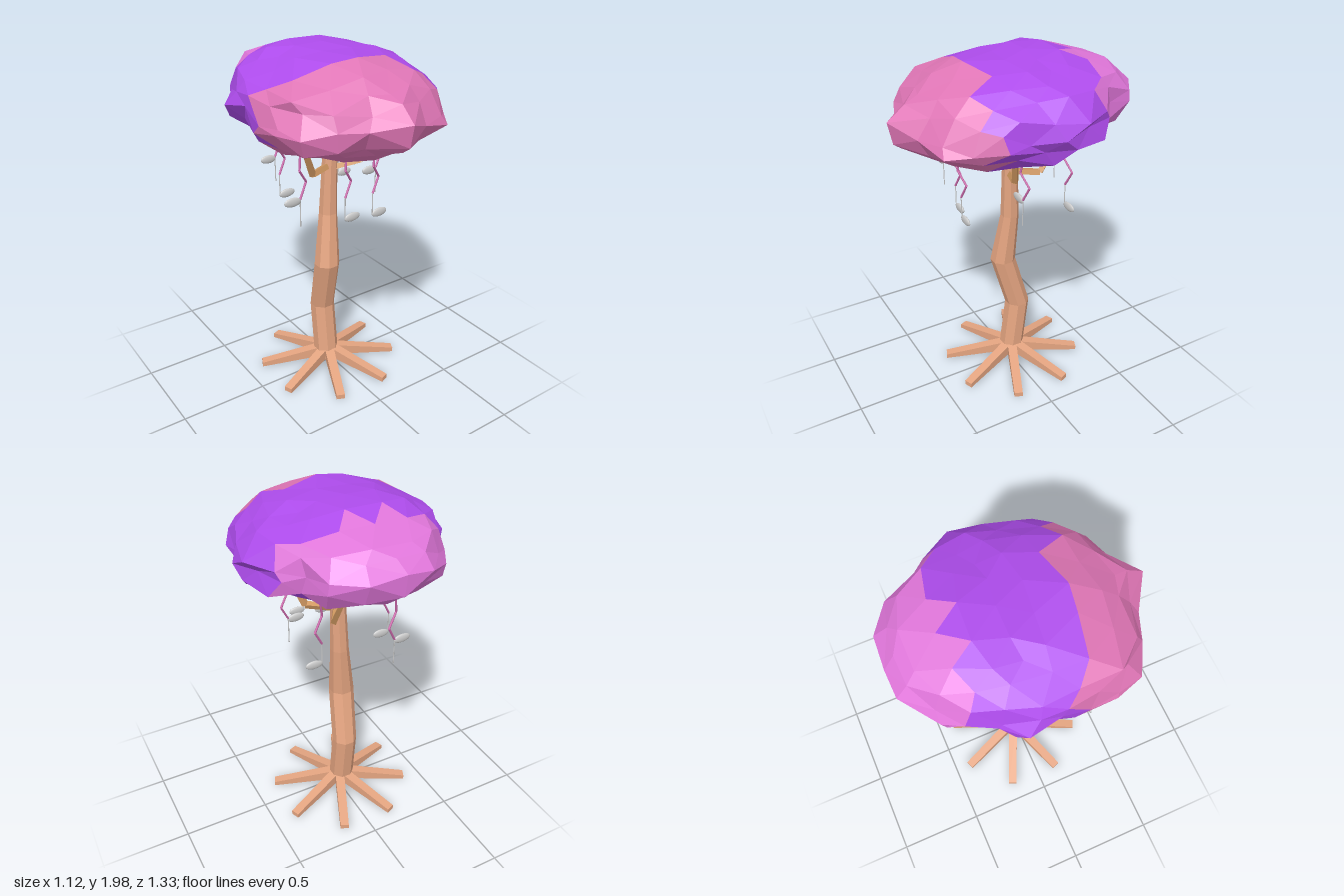
import * as THREE from 'three';
import { mergeVertices } from 'three/addons/utils/BufferGeometryUtils.js';

const V = (x, y, z) => new THREE.Vector3(x, y, z);
const mat = (color, flatShading = true) => new THREE.MeshStandardMaterial({ color, flatShading });
const bark = mat(0xe5a581), branchBark = mat(0xd29a62);
const vine = mat(0xcf6aae, false), metal = mat(0xcccccc, false);

function add(parent, name, geometry, material) {
  const mesh = new THREE.Mesh(geometry, material);
  mesh.name = name;
  parent.add(mesh);
  return mesh;
}

// Skin a stack of equal-length rings (counter-clockwise seen from the far end) and cap both ends
function loft(rings) {
  const n = rings[0].length, index = [];
  for (let i = 0; i < rings.length - 1; i++)
    for (let j = 0; j < n; j++) {
      const a = i * n + j, b = i * n + (j + 1) % n;
      index.push(a, b, b + n, a, b + n, a + n);
    }
  const top = (rings.length - 1) * n;
  for (let j = 1; j < n - 1; j++) index.push(0, j + 1, j, top, top + j, top + j + 1);
  const g = new THREE.BufferGeometry().setFromPoints(rings.flat());
  g.setIndex(index);
  g.computeVertexNormals();
  return g;
}

// Straight tapered rod between two points
function rod(parent, name, a, b, r0, r1, sides, material) {
  const d = b.clone().sub(a);
  const mesh = add(parent, name, new THREE.CylinderGeometry(r1, r0, d.length(), sides), material);
  mesh.position.copy(a).addScaledVector(d, 0.5);
  mesh.quaternion.setFromUnitVectors(V(0, 1, 0), d.normalize());
}

function rodPath(parent, name, points, radii, sides, material) {
  for (let i = 0; i < points.length - 1; i++)
    rod(parent, name, points[i], points[i + 1], radii[i], radii[i + 1], sides, material);
}

// Crooked trunk: x, y, z, radius of each ring
function buildTrunk(tree) {
  const stations = [
    [-0.024, 0.04, -0.02, 0.074], [-0.023, 0.4, -0.064, 0.073], [-0.045, 0.72, 0.022, 0.074],
    [-0.016, 1.03, -0.008, 0.053], [0.002, 1.6, 0, 0.037],
  ];
  const rings = stations.map(([x, y, z, r]) => Array.from({ length: 8 }, (_, j) => {
    const a = (j + 0.5) * Math.PI / 4;
    return V(x + r * Math.cos(a), y, z - r * Math.sin(a));
  }));
  add(tree, 'trunk', loft(rings), bark);
}

// Eight tapered roots spread like a star
function buildRoots(tree) {
  const section = (r, y0, y1, w) => [V(r, y0, w), V(r, y0, -w), V(r, y1, -w), V(r, y1, w)];
  const geometry = loft([section(0, 0.045, 0.115, 0.028), section(0.415, 0.008, 0.036, 0.025)]);
  for (let i = 0; i < 8; i++) {
    const root = add(tree, 'root', geometry, bark);
    root.position.set(-0.013, 0, -0.02);
    root.rotation.y = (i + 0.47) * Math.PI / 4;
  }
}

// Three elbowed branches reaching into the crown
function buildBranches(tree) {
  const paths = [
    [V(-0.01, 1.32, 0), V(-0.16, 1.315, 0.06), V(-0.25, 1.51, 0.11)],
    [V(0, 1.3, 0), V(0.16, 1.33, 0.06), V(0.23, 1.5, 0.1)],
    [V(0, 1.31, 0), V(0.09, 1.31, -0.14), V(0.1, 1.5, -0.26)],
  ];
  for (const p of paths) rodPath(tree, 'branch', p, [0.022, 0.021, 0.017], 4, branchBark);
}

// Crown: craggy faceted blob whose faces fall into three colour bands
function buildCrown(tree) {
  // Plan radius every 15 degrees, from +x towards +z
  const outline = [
    0.575, 0.53, 0.57, 0.61, 0.62, 0.6, 0.67, 0.6, 0.62, 0.63, 0.62, 0.56,
    0.57, 0.56, 0.55, 0.55, 0.64, 0.66, 0.69, 0.66, 0.61, 0.53, 0.56, 0.58,
  ];
  const planRadius = (x, z) => {
    const t = ((Math.atan2(z, x) / (2 * Math.PI) + 1) % 1) * 24;
    const i = Math.floor(t) % 24;
    return THREE.MathUtils.lerp(outline[i], outline[(i + 1) % 24], t - Math.floor(t));
  };
  let seed = 11;
  const random = () => (seed = (seed * 16807) % 2147483647) / 2147483647;
  const jitter = (amount) => (random() - 0.5) * amount;

  let ball = new THREE.IcosahedronGeometry(1, 3);
  ball.deleteAttribute('normal');
  ball.deleteAttribute('uv');
  ball = mergeVertices(ball, 1e-4);
  const pos = ball.attributes.position;
  for (let i = 0; i < pos.count; i++) {
    const p = V().fromBufferAttribute(pos, i);
    // Even oval near the poles, the uneven outline at the rim; the top leans back, the underside forward
    const oval = 0.56 + 0.08 * p.z * p.z;
    const r = THREE.MathUtils.lerp(planRadius(p.x, p.z), oval, p.y * p.y) * (0.975 + jitter(0.1));
    pos.setXYZ(i, p.x * r + jitter(0.05),
      1.717 + p.y * 0.283 * (0.97 + jitter(0.1)) + jitter(0.07) * (1 - Math.abs(p.y)),
      p.z * r + jitter(0.05) - 0.09 * p.y);
  }

  const tri = ball.toNonIndexed().attributes.position.array;
  const bands = { crownFront: [], crownMiddle: [], crownBack: [] };
  for (let f = 0; f < tri.length; f += 9) {
    const face = tri.slice(f, f + 9);
    const x = (face[0] + face[3] + face[6]) / 3, z = (face[2] + face[5] + face[8]) / 3;
    const band = z > 0.22 + 0.2 * x ? 'crownFront' : z < -0.32 + 0.12 * x ? 'crownBack' : 'crownMiddle';
    bands[band].push(...face);
  }
  const colors = { crownFront: 0xe076b6, crownMiddle: 0xae4cec, crownBack: 0xe076da };
  for (const name in bands) {
    const g = new THREE.BufferGeometry();
    g.setAttribute('position', new THREE.Float32BufferAttribute(bands[name], 3));
    g.computeVertexNormals();
    add(tree, name, g, mat(colors[name]));
  }
}

// Hanging ornaments: zigzag vine, thin stem and a flat oval, at the top or the bottom of the stem
function buildOrnaments(tree) {
  const oval = new THREE.SphereGeometry(1, 20, 12).scale(0.05, 0.025, 0.011);
  const ornaments = [ // oval centre x, y, z and whether the oval is at the top
    [-0.40, 1.28, 0.24, true], [-0.18, 1.267, -0.385, true], [0.215, 1.26, 0.07, true],
    [-0.205, 1.148, -0.14, false], [-0.06, 1.125, 0.285, false],
    [0.09, 1.13, 0.325, false], [0.255, 1.142, -0.23, false],
  ];
  for (const [x, y, z, atTop] of ornaments) {
    const group = new THREE.Group();
    group.name = 'ornament';
    group.position.set(x, y, z);
    tree.add(group);
    const head = add(group, 'ornamentOval', oval, metal);
    head.rotation.z = atTop ? -0.04 : 0.04;
    const sx = atTop ? 0.045 : -0.046, top = atTop ? 0.005 : 0.12, bottom = atTop ? -0.148 : -0.005;
    rod(group, 'ornamentStem', V(sx, bottom, 0), V(sx, top, 0), 0.003, 0.003, 6, metal);
    const zigzag = [[0, 0, 0], [0.045, 0.085, -0.012], [-0.008, 0.16, 0.012], [0.02, 0.33, -0.012]];
    rodPath(group, 'ornamentVine', zigzag.map(([a, b, c]) => V(sx + a, top + b, c)),
      [0.006, 0.006, 0.006, 0.006], 6, vine);
  }
}

export function createModel() {
  const tree = new THREE.Group();
  tree.name = 'tree';
  buildTrunk(tree);
  buildRoots(tree);
  buildBranches(tree);
  buildCrown(tree);
  buildOrnaments(tree);
  return tree;
}
